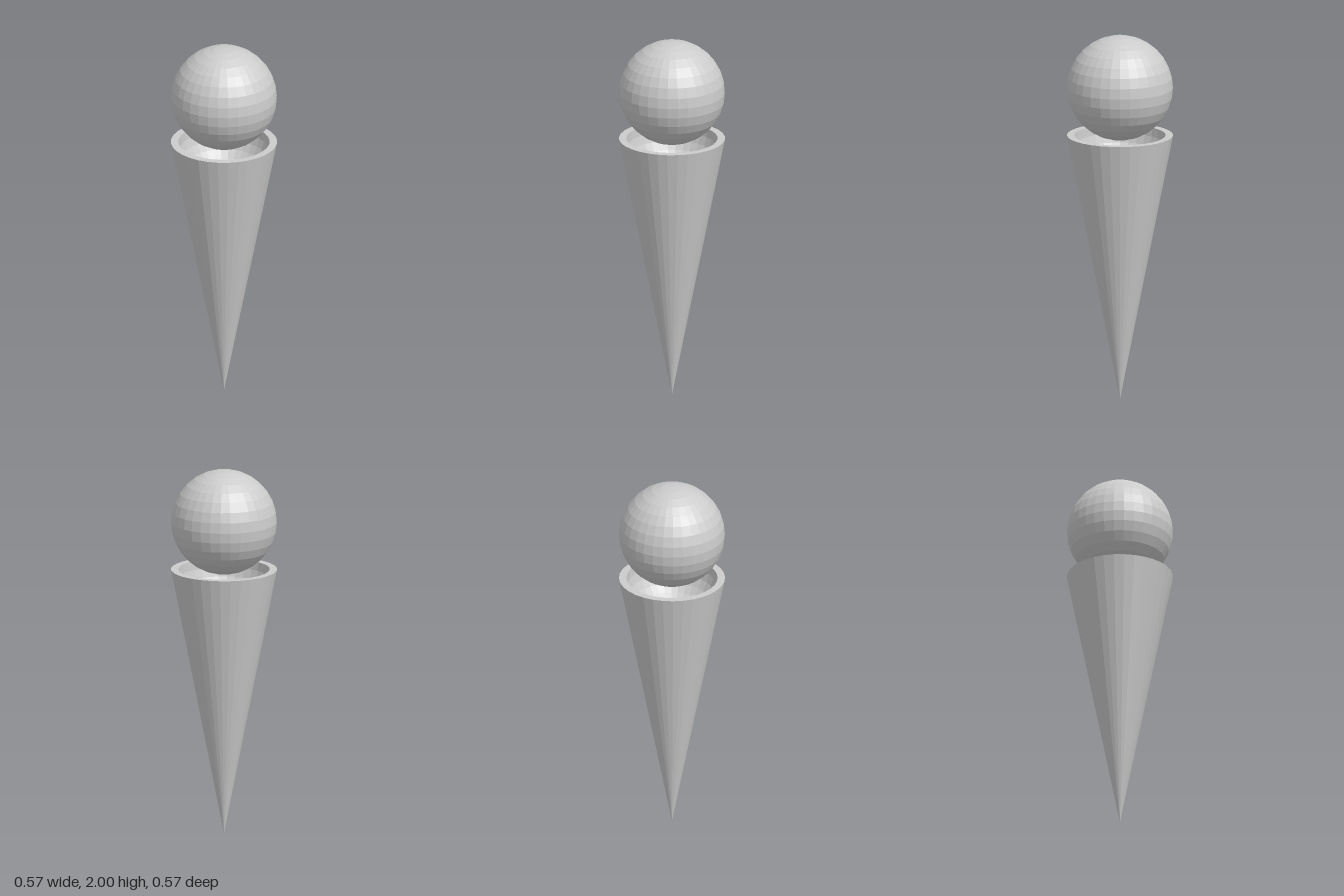
import * as THREE from 'three';

const SIDES = 32;
const RIM_Y = 1.455;
const RIM_R = 0.285;
const BOWL_R = 0.245;
const BOWL_STEPS = 8;
const SCOOP_R = 0.284;

export function createModel() {
  const group = new THREE.Group();
  const material = new THREE.MeshStandardMaterial({ color: 0xcccccc, flatShading: true });

  // Cone: pointed outside, flat rim and a rounded hollow in the top
  const profile = [new THREE.Vector2(0, 0), new THREE.Vector2(RIM_R, RIM_Y)];
  for (let i = 0; i <= BOWL_STEPS; i++) {
    const a = (i / BOWL_STEPS) * Math.PI / 2;
    const r = i === BOWL_STEPS ? 0 : BOWL_R * Math.cos(a);
    profile.push(new THREE.Vector2(r, RIM_Y - BOWL_R * Math.sin(a)));
  }
  const cone = new THREE.Mesh(new THREE.LatheGeometry(profile, SIDES), material);
  cone.name = 'cone';
  group.add(cone);

  // Scoop: ball resting just inside the hollow
  const scoop = new THREE.Mesh(new THREE.SphereGeometry(SCOOP_R, SIDES, SIDES / 2), material);
  scoop.name = 'scoop';
  scoop.position.y = 2 - SCOOP_R;
  group.add(scoop);

  return group;
}
